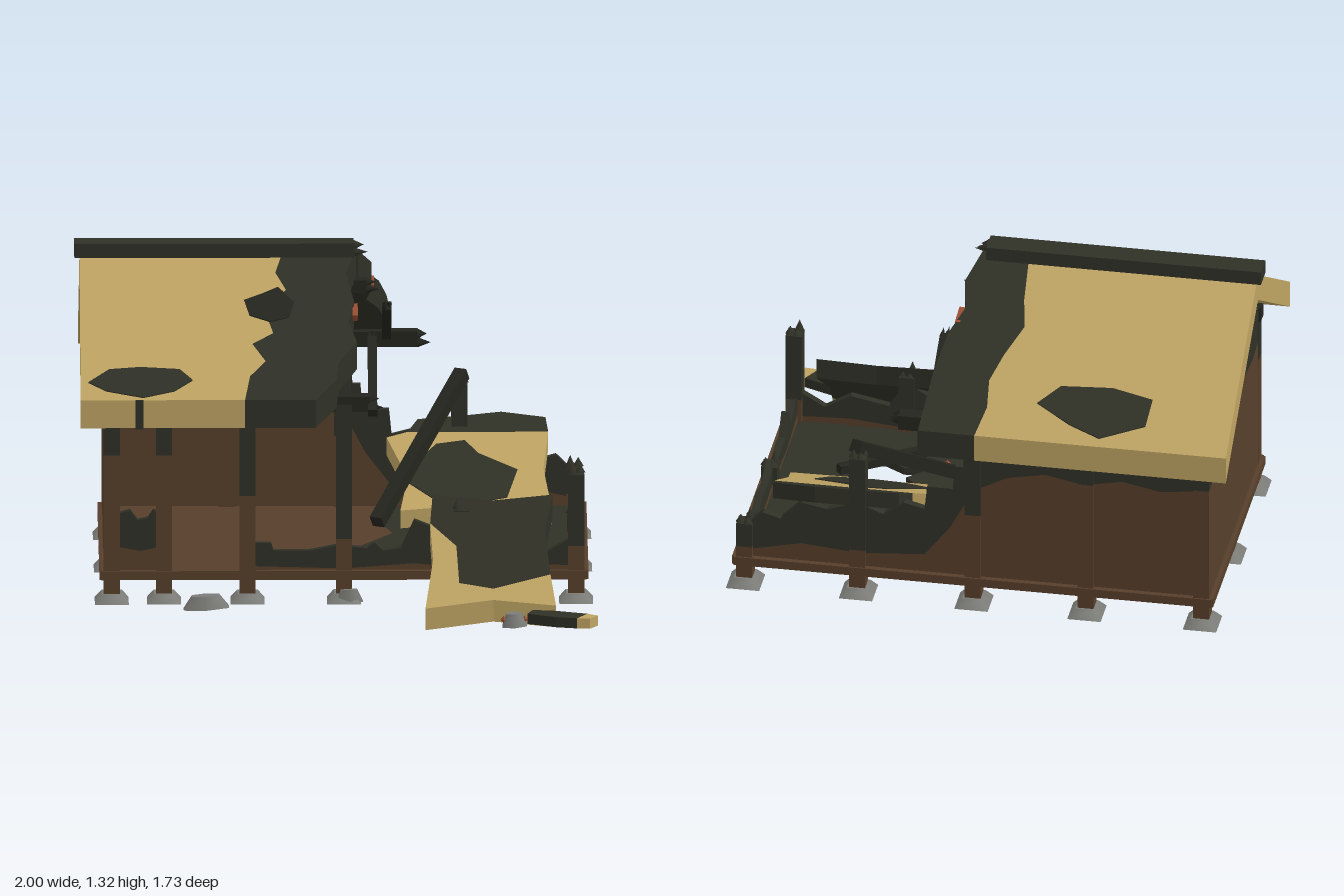
import * as THREE from 'three';

const mat = (name, color) => Object.assign(new THREE.MeshStandardMaterial({ color }), { name });
const M = {
  straw: mat('straw tan', 0xbfa463),
  char: mat('charred surface', 0x2f3026),
  coal: mat('coal black', 0x24251d),
  wood: mat('brown wood', 0x573f2b),
  stone: mat('grey stone', 0x7d7d79),
  ember: mat('ember orange', 0x9a4f33),
};
const BACK = -0.71, MID = -0.18, FRONT = 0.35;

export function createModel() {
  const model = new THREE.Group();
  model.name = 'burntHut';

  const add = (name, geo, material) => {
    const mesh = new THREE.Mesh(geo, material);
    mesh.name = name;
    model.add(mesh);
    return mesh;
  };
  const box = (name, x0, x1, y0, y1, z0, z1, m) =>
    add(name, new THREE.BoxGeometry(x1 - x0, y1 - y0, z1 - z0)
      .translate((x0 + x1) / 2, (y0 + y1) / 2, (z0 + z1) / 2), m);
  const toShape = (pts) => new THREE.Shape(pts.map(([a, b]) => new THREE.Vector2(a, b)));

  // Sloped slab from an x,z outline; its top lies on y = h + slope * z
  const slab = (name, pts, h, slope, t, m, hole) => {
    const shape = toShape(pts.map(([x, z]) => [x, -z]));
    if (hole) shape.holes.push(toShape(hole.map(([x, z]) => [x, -z])));
    const geo = new THREE.ExtrudeGeometry(shape, { depth: t, bevelEnabled: false });
    const p = geo.attributes.position;
    for (let i = 0; i < p.count; i++) {
      const z = -p.getY(i);
      p.setXYZ(i, p.getX(i), h + slope * z - t + p.getZ(i), z);
    }
    geo.computeVertexNormals();
    return add(name, geo, m);
  };

  // Upright plate from an outline in (along, y), running along x or z
  const plate = (name, axis, pos, pts, m, t = 0.03) => {
    const geo = new THREE.ExtrudeGeometry(toShape(pts), { depth: t, bevelEnabled: false });
    geo.translate(0, 0, -t / 2);
    if (axis === 'z') geo.rotateY(-Math.PI / 2).translate(pos, 0, 0);
    else geo.translate(0, 0, pos);
    return add(name, geo, m);
  };

  // Wall of sound wood below the line mid and charred wood up to the line top
  const burntWall = (name, axis, pos, mid, top) => {
    const a = mid[0][0], b = mid[mid.length - 1][0];
    plate(name + 'Wood', axis, pos, [[a, 0.11], ...mid, [b, 0.11]], M.wood);
    plate(name + 'Char', axis, pos, [...mid, ...[...top].reverse()], M.char);
  };

  // Square beam between two points, with an optional splintered end
  const beam = (name, a, b, w, m, splinter = false) => {
    const A = new THREE.Vector3(...a), B = new THREE.Vector3(...b);
    const len = A.distanceTo(B);
    const g = new THREE.Group();
    g.name = name;
    const body = new THREE.Mesh(new THREE.BoxGeometry(w, w, len), m);
    body.name = name + 'Body';
    g.add(body);
    if (splinter) {
      [[-0.25, -0.25, 0.05], [0.25, 0.2, 0.035], [-0.2, 0.25, 0.025]].forEach(([x, y, h]) => {
        const s = new THREE.Mesh(new THREE.ConeGeometry(w * 0.33, h, 4)
          .rotateX(Math.PI / 2).translate(x * w, y * w, len / 2 + h / 2), m);
        s.name = 'splinter';
        g.add(s);
      });
    }
    g.position.copy(A).lerp(B, 0.5);
    g.lookAt(B);
    model.add(g);
  };

  // Posts on stone pads: x, z, height, height of the unburnt wood
  const posts = [
    [-0.86, FRONT, 0.76, 0.58], [-0.66, FRONT, 0.76, 0.58], [-0.34, FRONT, 0.76, 0.42], [0.03, FRONT, 0.78, 0.25],
    [0.48, FRONT, 0.36, 0.17], [0.92, FRONT, 0.5, 0.22], [-0.86, MID, 0.76, 0.67], [0.92, MID, 0.22, 0.15],
    [-0.86, BACK, 0.76, 0.6], [-0.41, BACK, 0.76, 0.58], [0.03, BACK, 0.78, 0.4], [0.48, BACK, 0.6, 0.2],
    [0.92, BACK, 0.27, 0.17],
  ];
  for (const [x, z, h, burn] of posts) {
    const r = 0.031;
    add('stonePad', new THREE.CylinderGeometry(0.055, 0.092, 0.035, 4).rotateY(Math.PI / 4)
      .translate(x, 0.0175, z), M.stone);
    box('postFoot', x - r, x + r, 0.02, burn, z - r, z + r, M.wood);
    beam('postTop', [x, burn, z], [x, h, z], 2 * r, M.char, h < 0.7);
  }

  // Floor: sound boards, then charred boards with a burnt hole
  const seam = [[0.2, -0.73], [0.15, -0.5], [0.22, -0.25], [0.1, -0.05], [0.17, 0.15], [0.08, 0.37]];
  slab('floorWood', [[-0.9, 0.37], [-0.9, -0.73], ...seam], 0.12, 0, 0.03, M.wood);
  slab('floorChar', [...seam, [0.95, 0.37], [0.95, -0.73]], 0.12, 0, 0.03, M.char,
    [[0.34, 0.06], [0.42, -0.02], [0.38, -0.06], [0.53, -0.1], [0.65, -0.06], [0.64, 0.07], [0.52, 0.1], [0.44, 0.05]]);
  for (const z of [-0.735, 0.375]) box('sill', -0.9, 0.96, 0.09, 0.125, z - 0.012, z + 0.012, M.wood);
  for (const x of [-0.895, 0.955]) box('sill', x - 0.012, x + 0.012, 0.09, 0.125, -0.74, 0.38, M.wood);

  // Back wall, stepping down to the burnt end
  burntWall('backWall', 'x', BACK,
    [[-0.86, 0.59], [-0.7, 0.57], [-0.55, 0.6], [-0.4, 0.57], [-0.25, 0.6], [-0.1, 0.57], [0.03, 0.5], [0.12, 0.33],
      [0.22, 0.2], [0.48, 0.18], [0.7, 0.2], [0.92, 0.15]],
    [[-0.86, 0.78], [0.06, 0.78], [0.07, 0.6], [0.1, 0.6], [0.11, 0.5], [0.21, 0.5], [0.22, 0.4], [0.3, 0.42],
      [0.38, 0.36], [0.48, 0.4], [0.6, 0.36], [0.7, 0.38], [0.78, 0.3], [0.85, 0.32], [0.92, 0.25]]);
  // Left wall with its gable
  burntWall('leftWall', 'z', -0.875,
    [[BACK, 0.66], [-0.55, 0.65], [-0.4, 0.68], [-0.2, 0.66], [0, 0.68], [0.2, 0.65], [FRONT, 0.67]],
    [[BACK, 0.8], [MID, 1.13], [FRONT, 0.8]]);
  // Low jagged remains of the right and front walls
  burntWall('rightRemains', 'z', 0.92,
    [[BACK, 0.16], [-0.45, 0.14], [MID, 0.15], [0.1, 0.13], [FRONT, 0.16]],
    [[BACK, 0.26], [-0.65, 0.19], [-0.6, 0.24], [-0.5, 0.19], [-0.42, 0.22], [-0.3, 0.2], [MID, 0.24], [-0.1, 0.18],
      [0.02, 0.2], [0.08, 0.19], [0.14, 0.27], [0.18, 0.2], [0.28, 0.24], [0.31, 0.21], [FRONT, 0.28]]);
  burntWall('frontRemainsLeft', 'x', FRONT, [[-0.86, 0.22], [-0.75, 0.2], [-0.66, 0.22]],
    [[-0.86, 0.34], [-0.79, 0.36], [-0.76, 0.32], [-0.72, 0.33], [-0.7, 0.36], [-0.66, 0.35]]);
  burntWall('frontRemainsRight', 'x', FRONT,
    [[-0.34, 0.14], [0.03, 0.13], [0.3, 0.15], [0.48, 0.13], [0.7, 0.15], [0.92, 0.14]],
    [[-0.34, 0.23], [-0.25, 0.23], [-0.24, 0.2], [-0.1, 0.2], [0.0, 0.22], [0.12, 0.21], [0.15, 0.23], [0.18, 0.2],
      [0.25, 0.21], [0.3, 0.32], [0.4, 0.28], [0.48, 0.33], [0.55, 0.22], [0.7, 0.25], [0.8, 0.19], [0.92, 0.26]]);

  // Wall plates, trusses and broken rafters
  beam('frontPlate', [-0.9, 0.78, FRONT], [0.13, 0.78, FRONT], 0.06, M.coal, true);
  beam('backPlate', [-0.9, 0.78, BACK], [0.32, 0.78, BACK], 0.06, M.coal, true);
  beam('ridgeBeam', [-0.95, 1.115, MID], [0.12, 1.115, MID], 0.05, M.coal, true);
  for (const x of [-0.84, 0.03]) {
    box('tieBeam', x - 0.025, x + 0.025, 0.75, 0.8, BACK, FRONT, M.char);
    box('kingPost', x - 0.03, x + 0.03, 0.8, 1.12, MID - 0.03, MID + 0.03, M.char);
    for (const z of [BACK, FRONT]) beam('rafter', [x, 0.78, z], [x, 1.11, MID], 0.045, M.coal);
  }
  beam('brokenRafterFront', [0.14, 0.75, 0.4], [0.14, 0.96, 0.06], 0.035, M.coal, true);
  beam('brokenRafterBack', [0.2, 0.78, BACK], [0.2, 0.98, -0.4], 0.035, M.coal, true);

  // Roof slopes: straw, charred end and scorch marks
  const S = 0.61, RIDGE = 1.25, T = 0.11;
  const roofH = { front: RIDGE + S * MID, back: RIDGE - S * MID };
  const frontSeam = [[-0.35, 0.51], [-0.33, 0.4], [-0.27, 0.33], [-0.32, 0.25], [-0.24, 0.2], [-0.27, 0.1],
    [-0.19, 0.0], [-0.23, -0.08], [-0.2, MID]];
  const frontEdge = [[0.08, MID], [0.04, -0.08], [0.07, 0.05], [0.05, 0.15], [0.08, 0.24], [0.01, 0.34], [0, 0.42], [-0.08, 0.51]];
  const backSeam = [[-0.09, MID], [-0.1, -0.35], [-0.12, -0.45], [-0.06, -0.56], [-0.02, -0.66], [-0.03, -0.76], [0, -0.87]];
  const backEdge = [[0.22, -0.87], [0.2, -0.65], [0.17, -0.5], [0.12, -0.4], [0.14, -0.3], [0.09, MID]];
  slab('frontRoofStraw', [[-0.98, MID], [-0.98, 0.51], ...frontSeam], roofH.front, -S, T, M.straw);
  slab('frontRoofChar', [...frontSeam, ...frontEdge], roofH.front, -S, T, M.char);
  slab('backRoofStraw', [[-0.98, -0.87], [-0.98, MID], ...backSeam], roofH.back, S, T, M.straw);
  slab('backRoofChar', [...backSeam, ...backEdge], roofH.back, S, T, M.char);
  slab('scorchMark', [[-0.95, 0.43], [-0.87, 0.37], [-0.75, 0.36], [-0.6, 0.37], [-0.55, 0.42], [-0.62, 0.47], [-0.74, 0.5], [-0.88, 0.47]],
    roofH.front + 0.004, -S, 0.008, M.char);
  slab('scorchMark', [[-0.35, 0.05], [-0.28, 0.02], [-0.22, -0.01], [-0.16, 0.06], [-0.18, 0.13], [-0.25, 0.15], [-0.33, 0.12]],
    roofH.front + 0.004, -S, 0.008, M.coal);
  slab('scorchMark', [[-0.66, -0.68], [-0.65, -0.78], [-0.48, -0.84], [-0.36, -0.8], [-0.22, -0.73], [-0.3, -0.66], [-0.5, -0.65]],
    roofH.back + 0.004, S, 0.008, M.char);
  box('scorchDrip', -0.77, -0.74, 0.715, 0.83, 0.508, 0.514, M.char);
  box('ridgeCap', -1, 0.07, 1.235, 1.29, MID - 0.048, MID + 0.048, M.char);
  beam('ridgeCapEnd', [0.03, 1.262, MID], [0.075, 1.262, MID], 0.05, M.char, true);

  // Embers glowing on the broken roof edge
  for (const [x, z, l] of [[0.06, 0.05, 0.16], [0.125, -0.4, 0.12]]) {
    const y = RIDGE - S * Math.abs(z - MID) - 0.06;
    plate('ember', 'z', x + 0.015, [[z - l / 2, y + 0.03], [z - l / 4, y - 0.01], [z, y - 0.02], [z + l / 2, y + 0.02],
      [z + l / 3, y + 0.04]], M.ember, 0.02);
  }

  // Fallen roof piece inside
  slab('fallenRoofStraw', [[0.2, -0.62], [0.28, -0.65], [0.82, -0.65], [0.8, -0.45], [0.83, -0.24], [0.6, -0.21], [0.42, -0.24],
    [0.25, -0.22], [0.28, -0.4]], 0.11, -0.48, 0.07, M.straw);
  slab('fallenRoofChar', [[0.28, -0.65], [0.32, -0.72], [0.5, -0.74], [0.64, -0.76], [0.81, -0.73], [0.82, -0.65]],
    0.11, -0.48, 0.07, M.char);
  slab('fallenRoofScorch', [[0.25, -0.4], [0.39, -0.58], [0.5, -0.6], [0.55, -0.53], [0.7, -0.44], [0.66, -0.29], [0.5, -0.25],
    [0.38, -0.28]], 0.114, -0.48, 0.008, M.char);

  // Roof piece leaning against the front
  const leanSeam = [[0.36, 0.42], [0.46, 0.5], [0.47, 0.63], [0.6, 0.65], [0.82, 0.6]];
  slab('leaningRoofChar', [...leanSeam, [0.8, 0.45], [0.83, 0.32], [0.6, 0.34], [0.37, 0.32]], 0.69, -0.88, 0.085, M.char);
  slab('leaningRoofStraw', [...leanSeam, [0.84, 0.71], [0.6, 0.69], [0.34, 0.72], [0.37, 0.55]], 0.69, -0.88, 0.085, M.straw);

  // Fallen beams
  beam('fallenBeamLong', [0.16, 0.2, -0.1], [0.49, 0.64, BACK], 0.05, M.coal);
  beam('fallenBeamLow', [0.18, 0.15, 0.27], [0.66, 0.2, -0.14], 0.035, M.coal);

  // Charred plank, rubble and embers on the ground
  slab('plankChar', [[0.73, 0.78], [0.75, 0.72], [0.82, 0.725], [0.96, 0.78], [0.92, 0.855], [0.84, 0.835]], 0.05, 0, 0.04, M.char);
  slab('plankEnd', [[0.96, 0.78], [1, 0.81], [0.97, 0.86], [0.92, 0.855]], 0.05, 0, 0.04, M.straw);
  for (const [x, z, w, d] of [[-0.5, 0.48, 0.1, 0.05], [0.68, 0.78, 0.055, 0.045], [0.05, 0.39, 0.06, 0.02]]) {
    add('rubble', new THREE.CylinderGeometry(0.6, 1, 0.05, 6).scale(w, 1, d).rotateZ(0.06)
      .translate(x, 0.028, z), M.stone);
  }
  for (const [x, y, z] of [[0.64, 0.03, 0.79], [0.72, 0.03, 0.78], [0.28, 0.13, 0.1], [0.92, 0.2, 0.22], [0.58, 0.135, -0.12]])
    add('ember', new THREE.OctahedronGeometry(0.014).translate(x, y, z), M.ember);

  return model;
}
